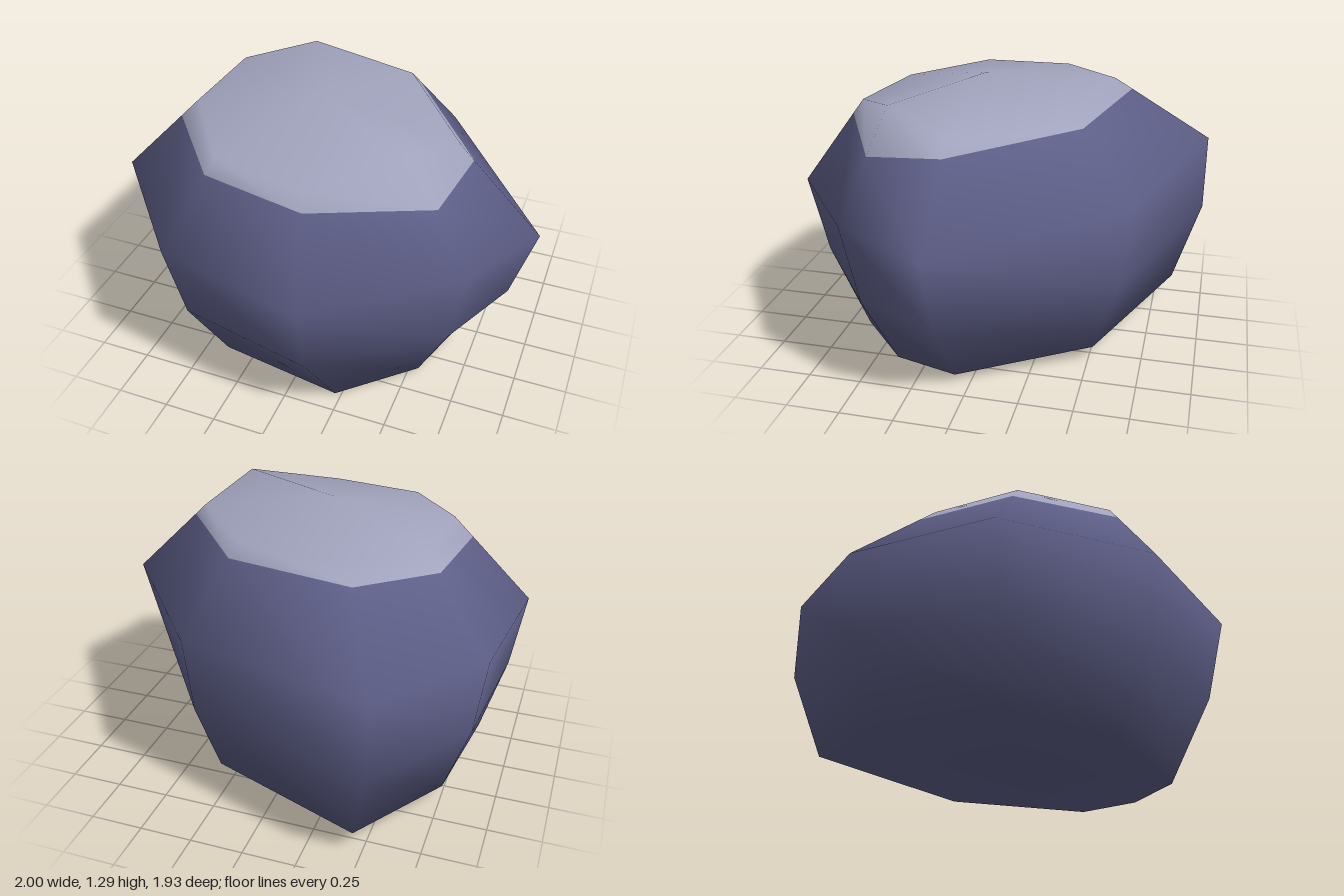
import * as THREE from 'three';

// Cross-sections of the boulder, bottom to top; eight [x, y, z] corners each,
// running clockwise seen from above, starting at the back.
const base = [
  [-0.46, 0.11, -0.84], [0.31, 0.07, -0.52], [0.65, 0.04, 0.07], [0.55, 0.03, 0.38],
  [0.22, 0.0, 0.65], [-0.38, 0.03, 0.58], [-0.83, 0.07, 0.22], [-0.76, 0.1, -0.38],
];
const waist = [
  [-0.54, 0.5, -0.97], [0.37, 0.45, -0.64], [0.89, 0.4, 0.09], [0.7, 0.39, 0.49],
  [0.16, 0.37, 0.87], [-0.48, 0.39, 0.75], [-0.94, 0.44, 0.27], [-0.88, 0.47, -0.43],
];
const belly = [
  [-0.55, 0.88, -0.97], [0.39, 0.83, -0.68], [1.0, 0.77, 0.1], [0.78, 0.8, 0.54],
  [0.17, 0.75, 0.96], [-0.53, 0.78, 0.82], [-1.0, 0.81, 0.28], [-0.93, 0.85, -0.45],
];
const shoulder = [
  [-0.32, 1.23, -0.5], [0.23, 1.21, -0.38], [0.61, 1.16, 0.1], [0.48, 1.26, 0.4],
  [0.09, 1.16, 0.67], [-0.36, 1.17, 0.58], [-0.62, 1.21, 0.22], [-0.59, 1.22, -0.22],
];
// How far up each belly-to-shoulder edge the pale cap begins
const capStart = [0.83, 0.83, 0.85, 0.57, 0.83, 0.82, 0.76, 0.79];

export function createModel() {
  const stone = new THREE.MeshStandardMaterial({ color: 0x5e5f88 });
  stone.name = 'slateBlueStone';
  const pale = new THREE.MeshStandardMaterial({ color: 0xa2a4be });
  pale.name = 'paleGreyCap';

  const capLine = belly.map((p, i) => p.map((v, k) => v + (shoulder[i][k] - v) * capStart[i]));
  const rings = [base, waist, belly, capLine, shoulder];
  const n = base.length;
  const positions = rings.flat();
  const bottom = positions.push([-0.08, 0.05, 0.0]) - 1;
  const apex = positions.push([-0.06, 1.29, 0.09]) - 1;

  const index = [];
  const band = (r) => {
    for (let i = 0; i < n; i++) {
      const j = (i + 1) % n;
      const a = r * n + i, b = r * n + j, c = a + n, d = b + n;
      index.push(a, c, d, a, d, b);
    }
  };

  // Stone: underside and the three lower bands
  for (let i = 0; i < n; i++) index.push(bottom, i, (i + 1) % n);
  for (let r = 0; r < 3; r++) band(r);
  const stoneCount = index.length;

  // Cap: sloping edge and top fan
  band(3);
  for (let i = 0; i < n; i++) index.push(apex, 4 * n + ((i + 1) % n), 4 * n + i);

  const geometry = new THREE.BufferGeometry();
  geometry.setAttribute('position', new THREE.Float32BufferAttribute(positions.flat(), 3));
  geometry.setIndex(index);
  geometry.addGroup(0, stoneCount, 0);
  geometry.addGroup(stoneCount, index.length - stoneCount, 1);
  geometry.computeVertexNormals();

  const boulder = new THREE.Mesh(geometry, [stone, pale]);
  boulder.name = 'boulder';
  const group = new THREE.Group();
  group.name = 'cappedRock';
  group.add(boulder);
  return group;
}
